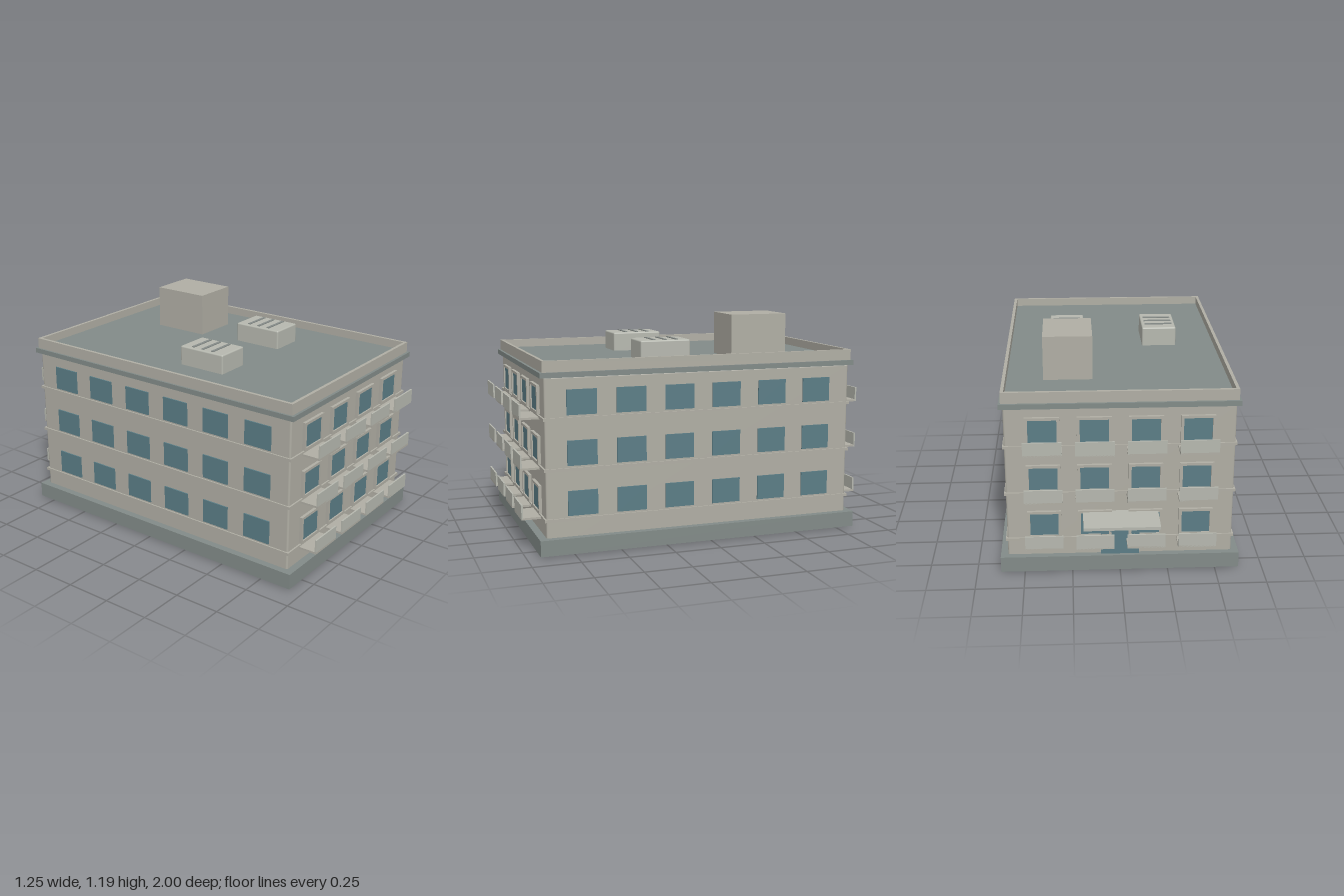
import * as THREE from 'three';
import { RoundedBoxGeometry } from 'three/addons/geometries/RoundedBoxGeometry.js';

const mat = (color) => new THREE.MeshStandardMaterial({ color });

export function createModel() {
  const model = new THREE.Group();
  model.name = 'apartmentBlock';
  const wall = mat(0xb0aea4), slate = mat(0x828b88), glass = mat(0x5b7d86);
  const pale = mat(0xb6b8af), slat = mat(0x858b88);

  // Box given by its extents on each axis; optional rounded edges
  function box(name, material, [x0, x1], [y0, y1], [z0, z1], radius = 0, parent = model) {
    const w = x1 - x0, h = y1 - y0, d = z1 - z0;
    const geo = radius ? new RoundedBoxGeometry(w, h, d, 2, radius) : new THREE.BoxGeometry(w, h, d);
    const mesh = new THREE.Mesh(geo, material);
    mesh.position.set((x0 + x1) / 2, (y0 + y1) / 2, (z0 + z1) / 2);
    mesh.name = name;
    parent.add(mesh);
    return mesh;
  }

  // Rectangular ring around the building, extruded upwards
  function ring(name, material, hx, z0, z1, y0, y1, t) {
    const rect = (P, x, a, b) => new P([[-x, -b], [x, -b], [x, -a], [-x, -a]].map((p) => new THREE.Vector2(...p)));
    const shape = rect(THREE.Shape, hx, z0, z1);
    shape.holes.push(rect(THREE.Path, hx - t, z0 + t, z1 - t));
    const geo = new THREE.ExtrudeGeometry(shape, { depth: y1 - y0, bevelEnabled: false });
    geo.rotateX(-Math.PI / 2).translate(0, y0, 0);
    const mesh = new THREE.Mesh(geo, material);
    mesh.name = name;
    model.add(mesh);
  }

  // Main volume, base and roof
  box('body', wall, [-0.587, 0.587], [0, 0.918], [-0.81, 0.89], 0.01);
  box('plinth', slate, [-0.625, 0.625], [0.006, 0.09], [-0.845, 0.93]);
  box('cornice', slate, [-0.607, 0.607], [0.915, 0.942], [-0.832, 0.914]);
  box('roof', slate, [-0.585, 0.585], [0.93, 0.955], [-0.81, 0.89]);
  ring('parapet', wall, 0.596, -0.819, 0.9, 0.94, 1.0, 0.017);

  const floors = [0.17, 0.431, 0.692];
  const bays = [-0.393, -0.131, 0.131, 0.393];

  // Window with frame and balcony, built facing +z from the wall plane
  function balconyBay() {
    const bay = new THREE.Group();
    bay.name = 'balconyBay';
    const shape = new THREE.Shape([[-0.088, 0.025], [0.088, 0.025], [0.088, 0.173], [-0.088, 0.173]].map((p) => new THREE.Vector2(...p)));
    shape.holes.push(new THREE.Path([[-0.073, 0.036], [0.073, 0.036], [0.073, 0.159], [-0.073, 0.159]].map((p) => new THREE.Vector2(...p))));
    const frame = new THREE.Mesh(new THREE.ExtrudeGeometry(shape, { depth: 0.016, bevelEnabled: false }), wall);
    frame.name = 'windowFrame';
    bay.add(frame);
    box('windowPane', glass, [-0.074, 0.074], [0.03, 0.16], [-0.005, 0.008], 0, bay);
    box('balconySlab', wall, [-0.098, 0.098], [0, 0.011], [-0.005, 0.11], 0, bay);
    box('balconyFront', pale, [-0.098, 0.098], [0, 0.079], [0.101, 0.11], 0, bay);
    return bay;
  }

  for (const y of floors) {
    ring('floorBand', wall, 0.595, -0.819, 0.899, y + 0.004, y + 0.019, 0.02);
    // Balconies on the front and back
    for (const x of bays) {
      const front = balconyBay();
      front.position.set(x, y, 0.89);
      const back = balconyBay();
      back.position.set(x, y, -0.81);
      back.rotation.y = Math.PI;
      model.add(front, back);
    }
    // Plain windows along both sides
    for (let i = 0; i < 6; i++) {
      const z = 0.698 - i * 0.2624;
      for (const s of [-1, 1]) {
        const pane = box('sideWindow', glass, [-0.008, 0.008], [y + 0.03, y + 0.16], [z - 0.079, z + 0.079]);
        pane.position.x = s * 0.586;
      }
    }
  }

  // Rear entrance
  box('entranceDoor', glass, [-0.1, 0.1], [0.085, 0.3], [-0.826, -0.8]);
  box('entranceCanopy', pale, [-0.197, 0.193], [0.32, 0.336], [-1.0, -0.805]);

  // Rooftop stair house and ventilation units
  box('stairHouse', wall, [0.13, 0.388], [0.94, 1.19], [-0.52, -0.197]);
  for (const x of [-0.264, 0.26]) {
    box('ventUnit', pale, [x - 0.096, x + 0.096], [0.94, 1.06], [0.03, 0.311], 0.008);
    for (const z of [0.102, 0.166, 0.23])
      box('ventSlat', slat, [x - 0.078, x + 0.078], [1.05, 1.064], [z - 0.008, z + 0.008]);
  }
  return model;
}
